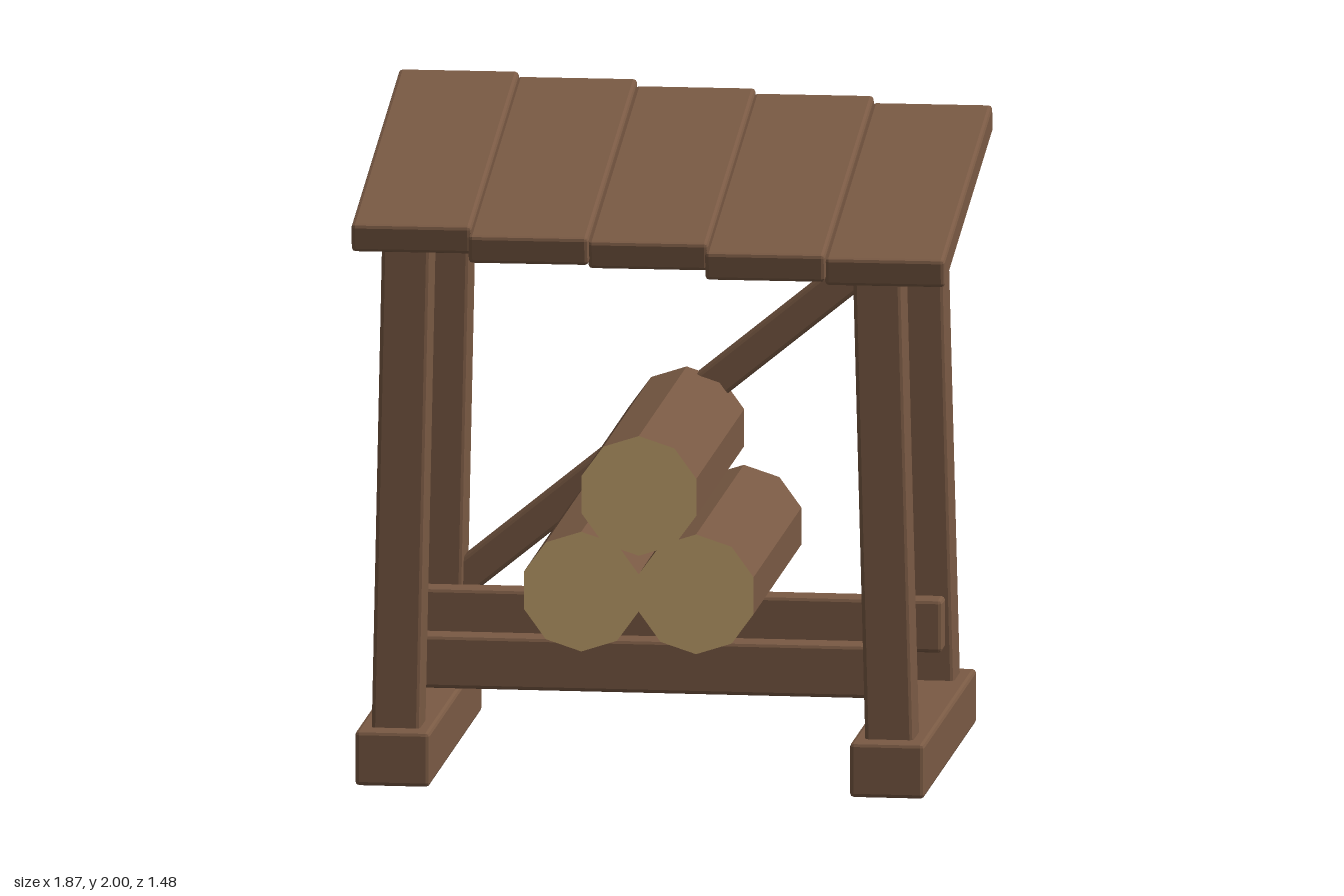
import * as THREE from 'three';
import { RoundedBoxGeometry } from 'three/addons/geometries/RoundedBoxGeometry.js';

const wood = new THREE.MeshStandardMaterial({ color: 0x7a5a44 });
wood.name = 'brown wood';
const cutWood = new THREE.MeshStandardMaterial({ color: 0xc4a36e });
cutWood.name = 'pale cut wood';

// Timber with small chamfered edges
function timber(name, size, position) {
  const geometry = new RoundedBoxGeometry(...size, 1, 0.012);
  geometry.computeVertexNormals(); // unshared corners give flat facets
  const mesh = new THREE.Mesh(geometry, wood);
  mesh.name = name;
  mesh.position.set(...position);
  return mesh;
}

// Ten-sided log lying along z, with pale cut ends
function log(x, y) {
  const geometry = new THREE.CylinderGeometry(0.187, 0.187, 1.155, 10).toNonIndexed();
  geometry.computeVertexNormals();
  geometry.rotateX(Math.PI / 2);
  const sideCount = 10 * 6, capCount = 10 * 3;
  geometry.clearGroups();
  geometry.addGroup(0, sideCount, 0);
  geometry.addGroup(sideCount, capCount * 2, 1);
  const mesh = new THREE.Mesh(geometry, [wood, cutWood]);
  mesh.name = 'log';
  mesh.position.set(x, y, 0.047);
  return mesh;
}

export function createModel() {
  const model = new THREE.Group();
  model.name = 'firewoodShelter';

  // Foot rails and leaning posts on each side
  const sides = [
    { name: 'right', footX: -0.785, lean: -0.021, top: 1.75 },
    { name: 'left', footX: 0.745, lean: 0.026, top: 1.68 },
  ];
  for (const { name, footX, lean, top } of sides) {
    model.add(timber(name + 'Foot', [0.23, 0.17, 1.27], [footX, 0.095, -0.025]));
    for (const [end, z, rise] of [['Front', 0.465, 0], ['Back', -0.52, 0.15]]) {
      const height = top + rise;
      const x = footX - Math.sign(footX) * Math.abs(lean) * (height / 2 - 0.1);
      const post = timber(name + end + 'Post', [0.15, height, 0.15], [x, height / 2, z]);
      post.rotation.z = lean;
      model.add(post);
    }
  }

  // Cross beams under the logs
  model.add(timber('frontBeam', [1.62, 0.165, 0.09], [-0.02, 0.362, 0.355]));
  model.add(timber('backBeam', [1.62, 0.165, 0.09], [-0.02, 0.362, -0.415]));

  // Diagonal brace between the back posts
  const brace = timber('backBrace', [1.84, 0.105, 0.1], [-0.02, 1.014, -0.515]);
  brace.rotation.z = Math.atan(0.815);
  model.add(brace);

  // Stacked logs
  const logs = new THREE.Group();
  logs.name = 'logPile';
  logs.add(log(-0.198, 0.636), log(0.157, 0.636), log(-0.02, 0.939));
  model.add(logs);

  // Sloping roof boards, stepping down to the left
  const roof = new THREE.Group();
  roof.name = 'roof';
  for (let i = 0; i < 5; i++) {
    const long = i % 2;
    const board = timber('roofBoard', [0.37, 0.09, long ? 1.48 : 1.443],
      [-0.732 + 0.366 * i, 1.845 - 0.0175 * i, long ? -0.002 : -0.02]);
    board.rotation.set(0.153, 0.0235, 0, 'YXZ');
    roof.add(board);
  }
  model.add(roof);

  return model;
}
